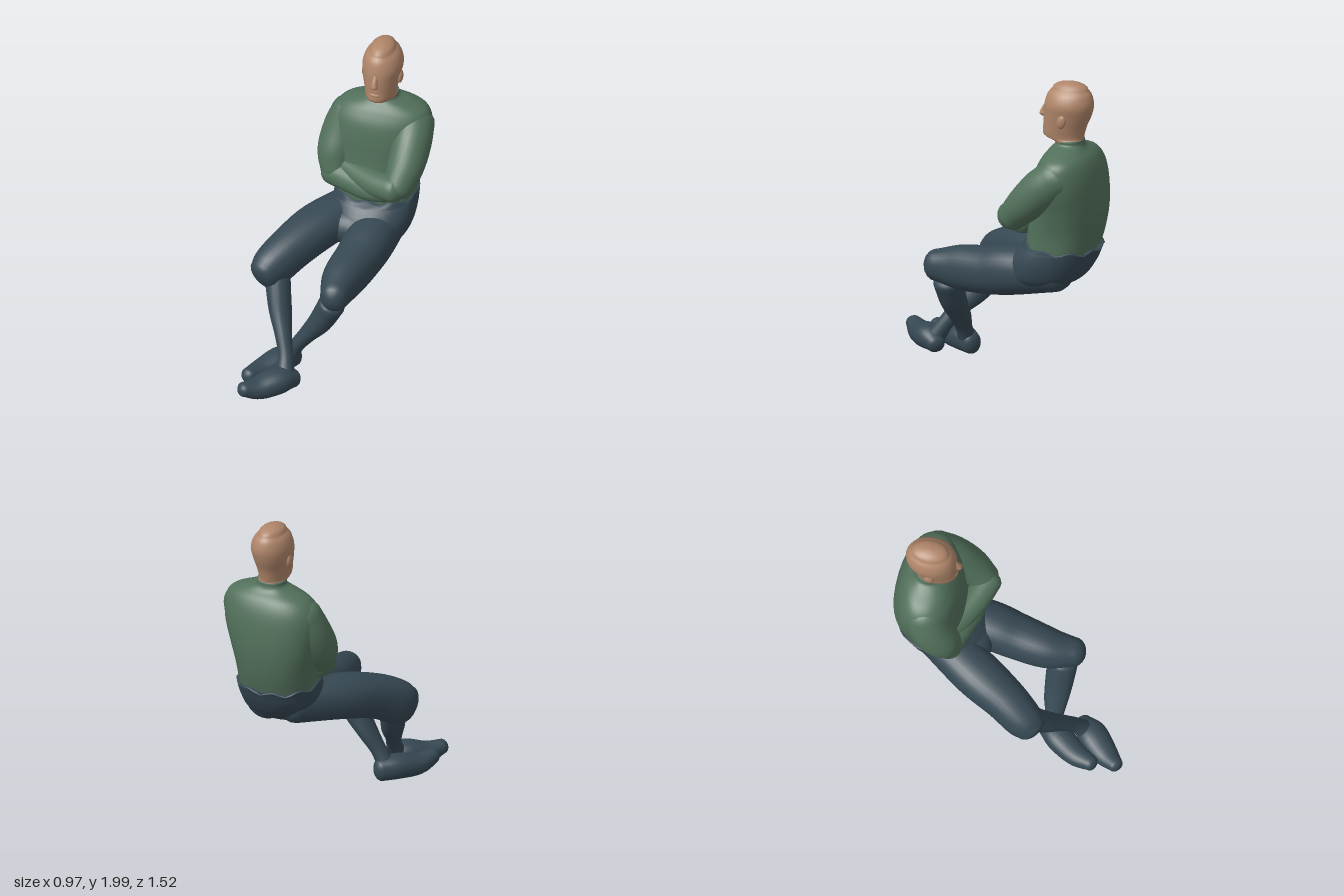
import * as THREE from 'three';

const V = (x, y, z) => new THREE.Vector3(x, y, z);
const mat = (name, color) => {
  const m = new THREE.MeshStandardMaterial({ color });
  m.name = name;
  return m;
};

// Smooth tube through sections [x, y, z, halfWidth, halfDepth] with rounded ends.
// level: keep the rings horizontal. caps: how far each end bulges out.
function loft(sections, { level = false, caps = [0.05, 0.05], sides = 28, steps = 5, power = 2 } = {}) {
  const path = new THREE.CatmullRomCurve3(sections.map(s => V(s[0], s[1], s[2])), false, 'catmullrom', 0.5);
  const size = new THREE.CatmullRomCurve3(sections.map(s => V(s[3], s[4] ?? s[3], 0)), false, 'catmullrom', 0.5);
  const n = (sections.length - 1) * steps;
  const first = V(...sections[0]), last = V(...sections[sections.length - 1]);
  const lying = Math.abs(last.clone().sub(first).normalize().y) < 0.7;
  const ref = lying ? V(0, 1, 0) : V(0, 0, 1);
  const rings = [];
  const addRing = (t, out, shrink) => {
    const axis = level ? V(0, Math.sign(last.y - first.y), 0) : path.getTangent(t).normalize();
    const u = ref.clone().cross(axis).normalize();
    rings.push({ c: path.getPoint(t).addScaledVector(axis, out), u, v: axis.clone().cross(u), s: size.getPoint(t).multiplyScalar(shrink) });
  };
  const capSteps = 5;
  for (let k = capSteps; k > 0; k--) {
    const a = k / capSteps * Math.PI / 2;
    addRing(0, -caps[0] * Math.sin(a), Math.max(Math.cos(a), 0.001));
  }
  for (let i = 0; i <= n; i++) addRing(i / n, 0, 1);
  for (let k = 1; k <= capSteps; k++) {
    const a = k / capSteps * Math.PI / 2;
    addRing(1, caps[1] * Math.sin(a), Math.max(Math.cos(a), 0.001));
  }
  const pos = [], idx = [];
  const bend = w => Math.sign(w) * Math.abs(w) ** (2 / power);
  rings.forEach((r, i) => {
    for (let j = 0; j < sides; j++) {
      const a = j / sides * Math.PI * 2;
      const p = r.c.clone().addScaledVector(r.u, r.s.x * bend(Math.cos(a))).addScaledVector(r.v, r.s.y * bend(Math.sin(a)));
      pos.push(p.x, p.y, p.z);
      if (i === rings.length - 1) continue;
      const k = (j + 1) % sides, A = i * sides, B = A + sides;
      idx.push(A + j, A + k, B + k, A + j, B + k, B + j);
    }
  });
  const g = new THREE.BufferGeometry();
  g.setAttribute('position', new THREE.Float32BufferAttribute(pos, 3));
  g.setIndex(idx);
  g.computeVertexNormals();
  return g;
}

// Horizontal section from its extents: height, right, left, back, front
const slab = (y, x0, x1, z0, z1) => [(x0 + x1) / 2, y, (z0 + z1) / 2, (x1 - x0) / 2, (z1 - z0) / 2];

export function createModel() {
  const group = new THREE.Group();
  const skin = mat('skin', 0xb0866a), green = mat('green sweater', 0x52705b), navy = mat('dark trousers', 0x364853);
  const add = (name, geometry, material) => {
    const m = new THREE.Mesh(geometry, material);
    m.name = name;
    group.add(m);
    return m;
  };
  const blob = (name, p, s, material) => {
    const m = add(name, new THREE.SphereGeometry(1, 24, 16), material);
    m.position.set(...p);
    m.scale.set(...s);
    return m;
  };

  // Head and face
  add('head', loft([
    slab(1.57, 0.07, 0.23, -0.63, -0.47),
    slab(1.625, 0.06, 0.24, -0.63, -0.44),
    slab(1.65, 0.055, 0.237, -0.632, -0.37),
    slab(1.72, 0.042, 0.25, -0.65, -0.37),
    slab(1.79, 0.028, 0.263, -0.68, -0.372),
    slab(1.86, 0.022, 0.272, -0.695, -0.38),
    slab(1.92, 0.038, 0.252, -0.683, -0.4),
    slab(1.955, 0.066, 0.22, -0.66, -0.428),
  ], { level: true, caps: [0, 0.045] }), skin);
  add('nose', loft([
    [0.145, 1.84, -0.39, 0.014], [0.145, 1.8, -0.368, 0.018], [0.147, 1.775, -0.362, 0.023],
  ], { caps: [0.01, 0.018], sides: 12 }), skin);
  blob('lips', [0.145, 1.7, -0.385], [0.04, 0.018, 0.02], skin);
  for (const [side, x] of [['right', 0.032], ['left', 0.26]]) {
    blob(side + 'Ear', [x, 1.77, -0.53], [0.018, 0.045, 0.03], skin).rotation.x = -0.2;
  }

  // Sweater body with collar
  add('sweater', loft([
    slab(0.9, -0.12, 0.375, -0.7, -0.27),
    slab(1.05, -0.14, 0.38, -0.742, -0.28),
    slab(1.2, -0.165, 0.41, -0.76, -0.315),
    slab(1.35, -0.18, 0.45, -0.752, -0.335),
    slab(1.46, -0.165, 0.455, -0.73, -0.36),
    slab(1.535, -0.105, 0.425, -0.695, -0.4),
    slab(1.58, 0.0, 0.33, -0.65, -0.435),
    slab(1.605, 0.05, 0.25, -0.635, -0.455),
    slab(1.635, 0.055, 0.242, -0.63, -0.46),
  ], { level: true, caps: [0, 0], sides: 40, power: 2.25 }), green);

  // Folded arms, the left forearm lying over the right
  add('rightUpperArm', loft([
    [-0.055, 1.42, -0.54, 0.13, 0.13], [-0.1, 1.3, -0.5, 0.13, 0.135], [-0.12, 1.18, -0.44, 0.122, 0.13], [-0.11, 1.08, -0.39, 0.1],
  ], { caps: [0.1, 0.07] }), green);
  add('rightForearm', loft([
    [-0.12, 1.065, -0.39, 0.095], [0.02, 1.06, -0.335, 0.09], [0.14, 1.06, -0.28, 0.08], [0.25, 1.08, -0.25, 0.07],
  ], { caps: [0.08, 0.05] }), green);
  add('leftUpperArm', loft([
    [0.345, 1.43, -0.54, 0.13], [0.362, 1.35, -0.44, 0.125, 0.13], [0.36, 1.24, -0.33, 0.115], [0.335, 1.14, -0.235, 0.092],
  ], { caps: [0.1, 0.07] }), green);
  add('leftForearm', loft([
    [0.325, 1.14, -0.21, 0.085], [0.2, 1.12, -0.26, 0.085], [0.07, 1.115, -0.325, 0.078], [-0.05, 1.125, -0.39, 0.065],
  ], { caps: [0.06, 0.05] }), green);

  // Trouser seat with an uneven waistline
  const seat = loft([
    slab(0.67, 0.0, 0.31, -0.5, -0.17),
    slab(0.74, -0.08, 0.365, -0.625, -0.15),
    slab(0.83, -0.13, 0.388, -0.69, -0.16),
    slab(0.9, -0.135, 0.39, -0.72, -0.21),
    slab(0.945, -0.135, 0.385, -0.737, -0.26),
  ], { level: true, caps: [0.04, 0], sides: 40, power: 2.2 });
  const p = seat.attributes.position;
  for (let i = 0; i < p.count; i++) {
    if (p.getY(i) < 0.93) continue;
    const a = Math.atan2(p.getZ(i) + 0.5, p.getX(i) - 0.13);
    p.setY(i, p.getY(i) + 0.012 * Math.sin(a * 9) + 0.012 * Math.sin(a));
  }
  seat.computeVertexNormals();
  add('trouserSeat', seat, navy);
  blob('trouserLap', [0.04, 0.765, -0.27], [0.2, 0.125, 0.14], navy);

  // Baggy trouser legs to the knee
  add('rightThigh', loft([
    [0.03, 0.795, -0.48, 0.135, 0.13], [-0.155, 0.765, -0.2, 0.15, 0.14], [-0.27, 0.71, 0, 0.135, 0.14],
    [-0.352, 0.64, 0.13, 0.12, 0.14], [-0.385, 0.605, 0.19, 0.098, 0.12],
  ], { caps: [0.1, 0.055], power: 2.2 }), navy);
  add('leftThigh', loft([
    [0.22, 0.775, -0.48, 0.135, 0.125], [0.18, 0.735, -0.18, 0.15, 0.155], [0.15, 0.7, 0, 0.142, 0.15],
    [0.118, 0.68, 0.2, 0.125, 0.14], [0.122, 0.675, 0.36, 0.09, 0.1],
  ], { caps: [0.1, 0.08], power: 2.2 }), navy);

  // Lower legs with full calves, crossing at the ankles
  add('rightShin', loft([
    [-0.315, 0.57, 0.15, 0.08, 0.085], [-0.27, 0.42, 0.24, 0.07, 0.085], [-0.215, 0.3, 0.345, 0.052, 0.06],
    [-0.175, 0.2, 0.42, 0.047, 0.05], [-0.16, 0.11, 0.48, 0.06],
  ], { sides: 20 }), navy);
  add('leftShin', loft([
    [0.085, 0.56, 0.3, 0.085, 0.095], [0.015, 0.42, 0.293, 0.075, 0.088], [-0.07, 0.3, 0.288, 0.055, 0.075],
    [-0.14, 0.2, 0.29, 0.047, 0.055], [-0.19, 0.11, 0.29, 0.055],
  ], { sides: 20 }), navy);

  // Shoes, toes turned to the right
  const shoe = (name, points) => add(name, loft(points, { caps: [0.04, 0.035], sides: 24, power: 2.2 }), navy);
  shoe('rightShoe', [
    [-0.11, 0.07, 0.465, 0.058, 0.055], [-0.18, 0.09, 0.535, 0.093, 0.08],
    [-0.28, 0.075, 0.635, 0.08, 0.067], [-0.352, 0.1, 0.715, 0.048, 0.045],
  ]);
  shoe('leftShoe', [
    [-0.175, 0.083, 0.25, 0.06, 0.07], [-0.24, 0.09, 0.34, 0.085, 0.078],
    [-0.32, 0.077, 0.46, 0.075, 0.065], [-0.37, 0.1, 0.565, 0.048, 0.047],
  ]);

  return group;
}
